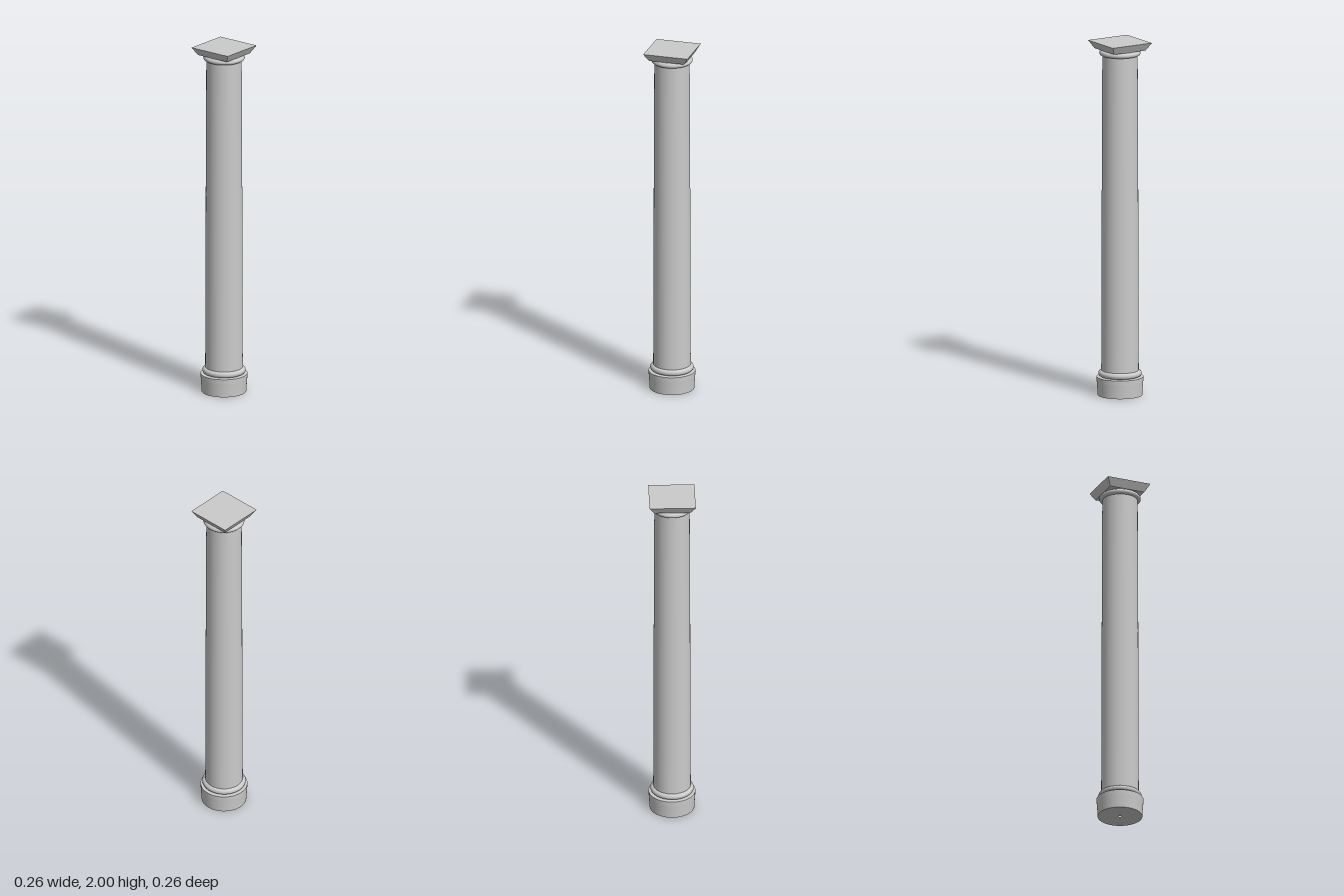
import * as THREE from 'three';

const material = new THREE.MeshStandardMaterial({ color: 0xcccccc });
const SIDES = 48;

export function createModel() {
  const column = new THREE.Group();
  column.name = 'column';

  const add = (name, geometry, parent = column) => {
    const mesh = new THREE.Mesh(geometry, material);
    mesh.name = name;
    parent.add(mesh);
    return mesh;
  };
  // Each [radius, height] profile runs upwards; separate lathes keep edges sharp.
  const turned = (name, points, parent) =>
    add(name, new THREE.LatheGeometry(points.map(([r, y]) => new THREE.Vector2(r, y)), SIDES), parent);

  // Round moulding: a half-ellipse bulge closed towards the shaft.
  const moulding = (name, inner, outer, y0, y1) => {
    const group = new THREE.Group();
    group.name = name;
    const points = [];
    const bulge = (y1 - y0) / 2;
    for (let i = 0; i <= 10; i++) {
      const a = -Math.PI / 2 + (Math.PI * i) / 10;
      points.push([outer - bulge + bulge * Math.cos(a), (y0 + y1) / 2 + bulge * Math.sin(a)]);
    }
    turned(name + 'Bulge', points, group);
    turned(name + 'Underside', [[inner, y0], [outer - bulge, y0]], group);
    turned(name + 'Top', [[outer - bulge, y1], [inner, y1]], group);
    column.add(group);
  };

  // Drum base with a small centre hole underneath
  turned('baseUnderside', [[0.008, 0], [0.124, 0]]);
  turned('baseDrum', [[0.124, 0], [0.126, 0.04], [0.129, 0.078]]);
  turned('baseRim', [[0.129, 0.078], [0.13, 0.104]]);
  turned('baseTop', [[0.13, 0.104], [0.1, 0.106]]);
  moulding('baseRing', 0.1, 0.12, 0.106, 0.141);

  // Gently tapering shaft
  turned('shaft', [[0.104, 0.13], [0.103, 0.6], [0.101, 1.2], [0.098, 1.93]]);

  // Capital: ring, neck and flared square slab
  moulding('capitalRing', 0.095, 0.115, 1.924, 1.954);
  turned('capitalNeck', [[0.1, 1.953], [0.1, 1.96]]);
  const slab = new THREE.BoxGeometry(0.256, 0.044, 0.256);
  const p = slab.attributes.position;
  for (let i = 0; i < p.count; i++) {
    if (p.getY(i) < 0) p.setXYZ(i, p.getX(i) * 0.8, p.getY(i), p.getZ(i) * 0.8);
  }
  slab.computeVertexNormals();
  add('capitalSlab', slab).position.y = 1.978;

  return column;
}
